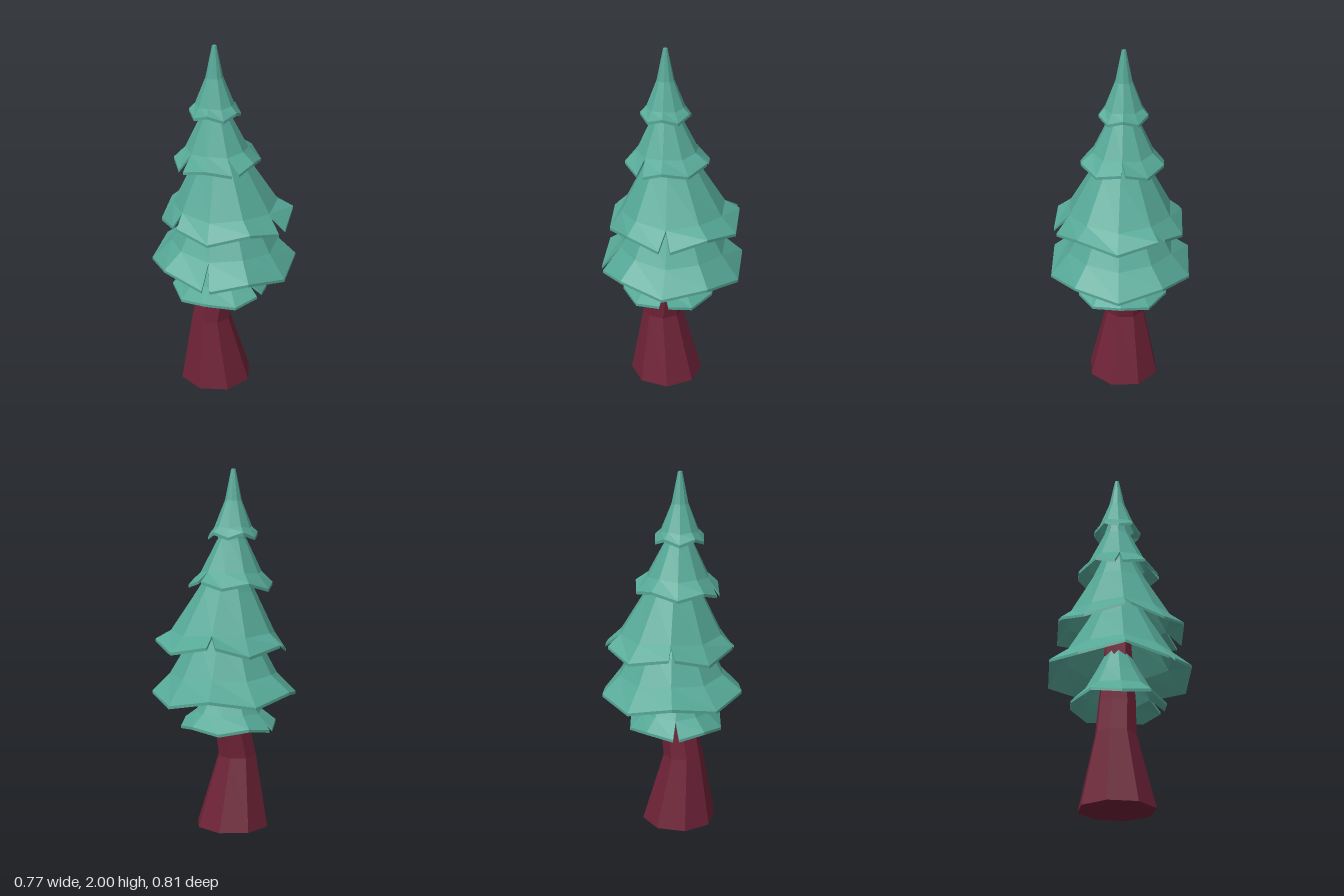
import * as THREE from 'three';

const SIDES = 10;
const STEP = (Math.PI * 2) / SIDES;
const THICK = 0.016;

// Flat-shaded geometry from a list of quads (counter-clockwise from outside)
function quadGeometry(quads) {
  const pos = [];
  for (const [a, b, c, d] of quads) {
    for (const p of [a, b, c, a, c, d]) pos.push(p[0], p[1], p[2]);
  }
  const g = new THREE.BufferGeometry();
  g.setAttribute('position', new THREE.Float32BufferAttribute(pos, 3));
  g.computeVertexNormals();
  return g;
}

// One skirt of branches: ten panels with a zigzag hem and torn notches.
// rings: [radius, height, centre x] from top to hem
// notches: corner index -> [shift of panel before, shift of panel after] in degrees
function skirt({ rings, zigzag, notches = {}, tilt = 0 }) {
  const last = rings.length - 1;
  const point = (ring, k, shift, drop) => {
    const [r, y, cx] = rings[ring];
    const a = k * STEP + (ring === last ? THREE.MathUtils.degToRad(shift) : 0);
    const wave = ring === last ? 1 : ring === last - 1 ? 0.3 : 0;
    const x = Math.sin(a) * r;
    const up = (k % 2 ? -1 : 1) * zigzag * wave + x * tilt * wave;
    return [cx + x, y + up - drop, Math.cos(a) * r];
  };
  const quads = [];
  for (let k = 0; k < SIDES; k++) {
    const k2 = (k + 1) % SIDES;
    const s1 = notches[k] ? notches[k][1] : 0;
    const s2 = notches[k2] ? notches[k2][0] : 0;
    const P = (i, d = 0) => point(i, k, s1, d);
    const Q = (i, d = 0) => point(i, k2, s2, d);
    for (let i = 0; i < last; i++) {
      quads.push([P(i), P(i + 1), Q(i + 1), Q(i)]);
      quads.push([Q(i, THICK), Q(i + 1, THICK), P(i + 1, THICK), P(i, THICK)]);
    }
    // hem edge
    quads.push([P(last), P(last, THICK), Q(last, THICK), Q(last)]);
    // edges of the notches
    const m = last - 1;
    if (notches[k]) quads.push([P(m), P(m, THICK), P(last, THICK), P(last)]);
    if (notches[k2]) quads.push([Q(m), Q(last), Q(last, THICK), Q(m, THICK)]);
  }
  return quadGeometry(quads);
}

// Bent eight-sided trunk, sections: [radius, height, centre x]
function trunkGeometry() {
  const sections = [
    [0.0, 0, -0.05], [0.21, 0, -0.05], [0.113, 0.4, -0.08],
    [0.105, 0.58, -0.048], [0.07, 1.0, -0.02], [0.035, 1.5, -0.04], [0, 1.55, -0.045],
  ];
  const n = 8;
  const at = ([r, y, cx], k) => {
    const a = ((k % n) * Math.PI * 2) / n;
    return [cx + Math.sin(a) * r, y, Math.cos(a) * r];
  };
  const quads = [];
  for (let i = 0; i < sections.length - 1; i++) {
    const lo = sections[i], hi = sections[i + 1];
    for (let k = 0; k < n; k++) quads.push([at(hi, k), at(lo, k), at(lo, k + 1), at(hi, k + 1)]);
  }
  return quadGeometry(quads);
}

const TIERS = [
  { name: 'lowestBranches', zigzag: -0.012,
    rings: [[0.04, 0.93, -0.04], [0.13, 0.76, -0.03], [0.19, 0.66, -0.025], [0.268, 0.59, -0.025]],
    notches: { 1: [-4, 7], 6: [-3, 4] } },
  { name: 'widestBranches', zigzag: 0.022, tilt: -0.03,
    rings: [[0.05, 1.32, -0.01], [0.19, 1.07, 0], [0.3, 0.878, 0.005], [0.405, 0.772, 0]],
    notches: { 9: [0, 6] } },
  { name: 'middleBranches', zigzag: 0.024, tilt: 0.03,
    rings: [[0.04, 1.58, -0.04], [0.16, 1.34, -0.01], [0.29, 1.112, 0.008], [0.366, 1.04, 0.02]],
    notches: { 1: [-6, 4], 4: [0, 7], 6: [0, 5], 8: [0, 5] } },
  { name: 'upperBranches', zigzag: -0.016, tilt: 0.04,
    rings: [[0.03, 1.78, -0.05], [0.08, 1.62, -0.046], [0.17, 1.44, -0.04], [0.235, 1.375, -0.037]],
    notches: { 0: [0, 10], 3: [0, 5], 8: [-8, 2] } },
  { name: 'topBranches', zigzag: -0.014,
    rings: [[0, 2, -0.053], [0.012, 2, -0.053], [0.047, 1.83, -0.053], [0.105, 1.685, -0.051], [0.138, 1.645, -0.05]] },
];

export function createModel() {
  const foliage = new THREE.MeshStandardMaterial({ color: 0x56a897, flatShading: true });
  foliage.name = 'foliageGreen';
  const bark = new THREE.MeshStandardMaterial({ color: 0x6e2237, flatShading: true });
  bark.name = 'barkRed';

  const tree = new THREE.Group();
  tree.name = 'pineTree';

  const trunk = new THREE.Mesh(trunkGeometry(), bark);
  trunk.name = 'trunk';
  tree.add(trunk);

  for (const tier of TIERS) {
    const mesh = new THREE.Mesh(skirt(tier), foliage);
    mesh.name = tier.name;
    tree.add(mesh);
  }
  return tree;
}
